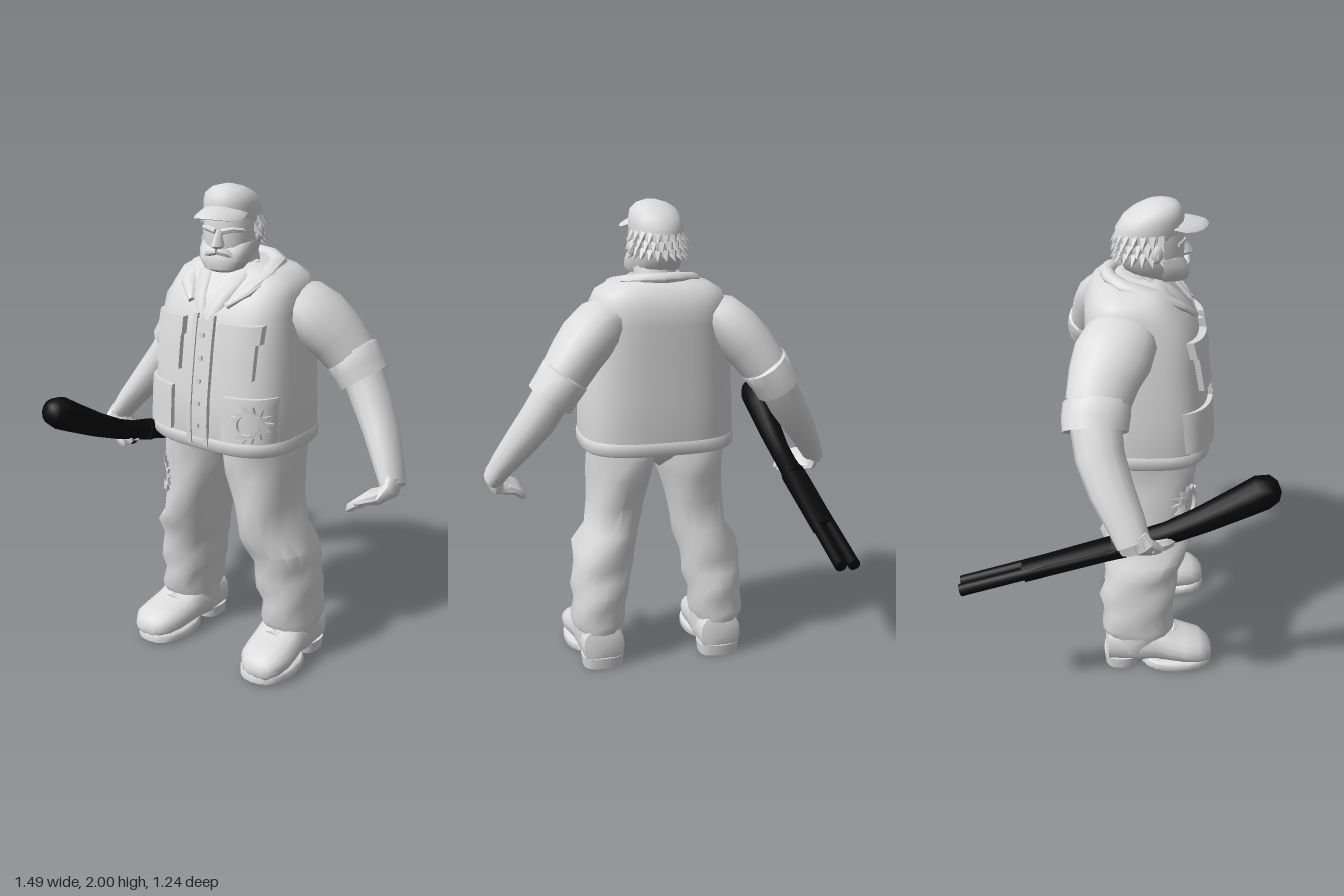
import * as THREE from 'three';
import { toCreasedNormals } from 'three/addons/utils/BufferGeometryUtils.js';

const X = new THREE.Vector3(1, 0, 0), Y = new THREE.Vector3(0, 1, 0), Z = new THREE.Vector3(0, 0, 1);
const cloth = new THREE.MeshStandardMaterial({ color: 0xdcdcdc });
cloth.name = 'light grey';
const metal = new THREE.MeshStandardMaterial({ color: 0x080808 });
metal.name = 'gun black';

// Closed sweep through rows [x, y, z, a, b]; rings are superellipses of power n
function sweep(rows, { seg = 14, n = 2, axis = null, ref = Z, wobble = 0 } = {}) {
  const pos = [], idx = [];
  const P = rows.map(r => new THREE.Vector3(r[0], r[1], r[2]));
  rows.forEach((r, k) => {
    const t = axis ? axis.clone()
      : P[Math.min(k + 1, P.length - 1)].clone().sub(P[Math.max(k - 1, 0)]).normalize();
    const u = t.clone().cross(ref).normalize(), v = u.clone().cross(t);
    for (let i = 0; i < seg; i++) {
      const w = i / seg * Math.PI * 2, c = Math.cos(w), s = Math.sin(w);
      const q = 1 + wobble * Math.sin(3 * w + k * 2.1);
      const p = P[k].clone()
        .addScaledVector(u, q * r[3] * Math.sign(c) * Math.abs(c) ** (2 / n))
        .addScaledVector(v, q * (r[4] ?? r[3]) * Math.sign(s) * Math.abs(s) ** (2 / n));
      pos.push(p.x, p.y, p.z);
    }
  });
  const last = (rows.length - 1) * seg, c0 = rows.length * seg;
  [P[0], P[P.length - 1]].forEach(p => pos.push(p.x, p.y, p.z));
  for (let i = 0; i < seg; i++) {
    const j = (i + 1) % seg;
    for (let k = 0; k < last; k += seg) idx.push(k + i, k + seg + i, k + j, k + j, k + seg + i, k + seg + j);
    idx.push(c0, i, j, c0 + 1, last + j, last + i);
  }
  const g = new THREE.BufferGeometry();
  g.setAttribute('position', new THREE.Float32BufferAttribute(pos, 3));
  g.setIndex(idx);
  return g;
}

// Front depth of a vertical sweep at (x, y), for laying details on it
const surface = (rows, n) => (x, y) => {
  let k = 0;
  while (k < rows.length - 2 && y > rows[k + 1][1]) k++;
  const f = THREE.MathUtils.clamp((y - rows[k][1]) / (rows[k + 1][1] - rows[k][1]), 0, 1);
  const [cx, , cz, a, b] = rows[k].map((v, i) => v + (rows[k + 1][i] - v) * f);
  return cz + b * Math.max(0, 1 - Math.abs((x - cx) / a) ** n) ** (1 / n);
};
function drape(g, surf) {
  const p = g.attributes.position;
  for (let i = 0; i < p.count; i++) p.setZ(i, p.getZ(i) + surf(p.getX(i), p.getY(i)));
  return g;
}
const plate = (x0, x1, y0, y1, d, surf) =>
  drape(new THREE.BoxGeometry(x1 - x0, y1 - y0, 2 * d, 8, 6, 1).translate((x0 + x1) / 2, (y0 + y1) / 2, 0), surf);
function star(x, y, rx, ry, d, surf) {
  const s = new THREE.Shape();
  for (let i = 0; i < 28; i++) {
    const a = i / 28 * Math.PI * 2, r = i % 2 ? 0.72 : 1;
    s[i ? 'lineTo' : 'moveTo'](x + rx * r * Math.cos(a), y + ry * r * Math.sin(a));
  }
  s.holes.push(new THREE.Path().absellipse(x, y, rx * 0.55, ry * 0.55, 0, Math.PI * 2));
  return drape(new THREE.ExtrudeGeometry(s, { depth: d, bevelEnabled: false, curveSegments: 10 }), surf);
}

const torsoRows = [
  [0, 0.98, 0.135, 0.32, 0.245], [0, 1.03, 0.138, 0.326, 0.255], [0, 1.2, 0.132, 0.322, 0.25],
  [0, 1.4, 0.115, 0.305, 0.238], [0, 1.52, 0.103, 0.29, 0.228], [0, 1.59, 0.08, 0.28, 0.205],
  [0, 1.645, 0.065, 0.262, 0.165], [0, 1.675, 0.065, 0.21, 0.14], [0, 1.7, 0.07, 0.12, 0.1]];
const legRows = [
  [0.27, 0.16, 0.095, 0.106, 0.14], [0.27, 0.2, 0.095, 0.117, 0.155], [0.264, 0.27, 0.095, 0.111, 0.148],
  [0.257, 0.33, 0.097, 0.125, 0.162], [0.25, 0.39, 0.105, 0.124, 0.155], [0.243, 0.45, 0.108, 0.128, 0.155],
  [0.23, 0.525, 0.125, 0.137, 0.173], [0.197, 0.6, 0.138, 0.112, 0.182], [0.178, 0.72, 0.15, 0.121, 0.174],
  [0.157, 0.85, 0.135, 0.137, 0.198], [0.148, 0.95, 0.128, 0.145, 0.21], [0.15, 1.02, 0.135, 0.147, 0.2]];

export function createModel() {
  const model = new THREE.Group();
  model.name = 'burlyHunter';
  const add = (parent, name, g, mat = cloth) => {
    const m = new THREE.Mesh(toCreasedNormals(g, 0.8), mat);
    m.name = name;
    parent.add(m);
    return m;
  };
  const front = surface(torsoRows, 3);

  // Vest with hem, placket, buttons and pockets
  add(model, 'vest', sweep(torsoRows, { seg: 36, n: 3, axis: Y }));
  add(model, 'vestHem', sweep([[0, 0.975, 0.136, 0.322, 0.25], [0, 0.985, 0.137, 0.33, 0.258],
    [0, 1.025, 0.138, 0.331, 0.26], [0, 1.04, 0.138, 0.322, 0.25]], { seg: 36, n: 3, axis: Y }));
  add(model, 'placket', plate(-0.045, 0.05, 1.0, 1.5, 0.01, front));
  for (const x of [-0.045, 0.035]) add(model, 'placketEdge', plate(x, x + 0.02, 1.0, 1.52, 0.017, front));
  for (let i = 0; i < 5; i++) {
    const y = 1.08 + i * 0.09;
    add(model, 'button', new THREE.CylinderGeometry(0.011, 0.011, 0.02, 8).rotateX(Math.PI / 2)
      .translate(0.005, y, front(0.005, y) + 0.01));
  }
  for (const s of [-1, 1]) {
    const box = (name, a, b, y0, y1, d) => add(model, name, plate(Math.min(s * a, s * b), Math.max(s * a, s * b), y0, y1, d, front));
    box('chestPocket', 0.095, 0.235, 1.29, 1.46, 0.022);
    box('chestPocketFlap', 0.085, 0.25, 1.43, 1.5, 0.03);
    box('lowerPocket', 0.125, 0.305, 1.04, 1.22, 0.02);
    // Shirt lapel in the neck opening
    add(model, 'lapel', sweep([[s * 0.012, 1.48, 0.335, 0.012, 0.012], [s * 0.055, 1.58, 0.295, 0.035, 0.014],
      [s * 0.09, 1.66, 0.205, 0.03, 0.016], [s * 0.1, 1.7, 0.12, 0.012, 0.012]], { seg: 8 }));
  }
  add(model, 'vestPatch', star(0.235, 1.12, 0.07, 0.075, 0.032, front));
  // Collar band round the neck
  const half = [[0.085, 1.555, 0.31, 0.012, 0.014], [0.135, 1.61, 0.25, 0.04, 0.02], [0.165, 1.665, 0.15, 0.04, 0.024],
    [0.135, 1.69, 0.03, 0.035, 0.024], [0.07, 1.7, -0.02, 0.03, 0.024]];
  add(model, 'collar', sweep([...half, [0, 1.702, -0.035, 0.03, 0.024],
    ...half.slice().reverse().map(([x, ...r]) => [-x, ...r])], { seg: 10, ref: Y }));

  // Seat of the trousers
  add(model, 'trouserSeat', sweep([[0, 0.89, 0.13, 0.012, 0.1], [0, 0.92, 0.13, 0.05, 0.15], [0, 0.96, 0.13, 0.16, 0.185],
    [0, 1.01, 0.13, 0.28, 0.205]], { seg: 20, axis: Y }));

  // Limbs, built once for +x and mirrored through the row data
  for (const s of [1, -1]) {
    const side = new THREE.Group();
    side.name = s > 0 ? 'leftLimbs' : 'rightLimbs';
    model.add(side);
    const part = (name, rows, opt) => add(side, name, sweep(rows.map(([x, ...r]) => [s * x, ...r]), opt));
    part('trouserLeg', legRows, { seg: 16, n: 2.3, axis: Y, wobble: 0.035 });
    part('sleeve', [[0.19, 1.55, 0.035, 0.075, 0.12], [0.25, 1.525, 0.02, 0.103, 0.145], [0.31, 1.47, -0.013, 0.112, 0.155],
      [0.365, 1.41, -0.045, 0.107, 0.14], [0.43, 1.32, -0.073, 0.098, 0.123]], { seg: 16 });
    part('sleeveCuff', [[0.412, 1.345, -0.067, 0.095, 0.118], [0.42, 1.335, -0.072, 0.104, 0.132], [0.455, 1.285, -0.077, 0.1, 0.133],
      [0.485, 1.24, -0.079, 0.1, 0.127], [0.482, 1.245, -0.079, 0.08, 0.1]], { seg: 16, axis: new THREE.Vector3(s * 0.58, -0.81, 0) });
    part('forearm', [[0.46, 1.28, -0.08, 0.08, 0.1], [0.53, 1.16, -0.062, 0.078, 0.096], [0.605, 1.05, -0.018, 0.066, 0.088],
      [0.67, 0.95, 0.035, 0.052, 0.076], [0.71, 0.88, 0.065, 0.042, 0.066]], { seg: 12 });
    part('palm', [[0.705, 0.91, 0.055, 0.035, 0.06], [0.705, 0.865, 0.075, 0.035, 0.075], [0.67, 0.84, 0.105, 0.03, 0.085],
      [0.635, 0.828, 0.115, 0.022, 0.08]], { seg: 12 });
    for (let i = 0; i < 4; i++) {
      const z = 0.05 + i * 0.043, r = 0.02;
      part('finger', [[0.65, 0.835, z, r], [0.615, 0.82, z + 0.005, r], [0.59, 0.8, z + 0.008, r * 0.9],
        [0.58, 0.787, z + 0.008, r * 0.5]], { seg: 7 });
    }
    part('thumb', [[0.7, 0.86, 0.13, 0.025], [0.675, 0.855, 0.18, 0.023], [0.64, 0.845, 0.21, 0.018],
      [0.625, 0.84, 0.22, 0.009]], { seg: 7 });
    // Boot with toe, sole, heel and laces
    part('boot', [[0.265, 0.09, -0.042, 0.06, 0.06], [0.265, 0.1, -0.03, 0.09, 0.09], [0.265, 0.11, 0.08, 0.1, 0.1],
      [0.268, 0.118, 0.17, 0.107, 0.09], [0.274, 0.1, 0.23, 0.11, 0.073], [0.282, 0.086, 0.3, 0.11, 0.064],
      [0.287, 0.079, 0.36, 0.1, 0.057], [0.29, 0.066, 0.4, 0.07, 0.042], [0.29, 0.06, 0.415, 0.04, 0.02]],
      { seg: 16, n: 2.4, axis: Z, ref: Y.clone().negate() });
    part('bootShaft', [[0.265, 0.08, 0.08, 0.1, 0.1], [0.268, 0.16, 0.1, 0.112, 0.13], [0.268, 0.21, 0.1, 0.104, 0.125]], { axis: Y });
    part('sole', [[0.279, 0.004, 0.265, 0.107, 0.143], [0.279, 0.012, 0.265, 0.113, 0.154], [0.279, 0.04, 0.265, 0.113, 0.154],
      [0.279, 0.048, 0.265, 0.105, 0.148]], { seg: 20, n: 2.3, axis: Y });
    part('heel', [[0.265, 0, 0.025, 0.088, 0.07], [0.265, 0.05, 0.025, 0.094, 0.076]], { seg: 16, n: 2.8, axis: Y });
    for (let i = 0; i < 3; i++) {
      const y = 0.205 - i * 0.018, z = 0.175 + i * 0.035;
      part('lace', [[0.215, y - 0.02, z, 0.009], [0.27, y, z + 0.01, 0.011], [0.325, y - 0.02, z, 0.009]], { seg: 6 });
    }
  }
  const legFront = surface(legRows, 2.3);
  add(model, 'kneePatch', star(-0.245, 0.78, 0.045, 0.085, 0.014, (x, y) => legFront(-x, y)));

  // Neck and turned head
  add(model, 'neck', sweep([[0, 1.6, 0.1, 0.1, 0.1], [0, 1.75, 0.13, 0.085, 0.09]], { axis: Y }));
  const head = new THREE.Group();
  head.name = 'head';
  head.position.set(-0.01, 0, 0.135);
  head.rotation.y = 0.22;
  model.add(head);
  add(head, 'skull', sweep([[0, 1.69, 0.04, 0.07, 0.08], [0, 1.73, 0.015, 0.098, 0.12], [0, 1.79, 0, 0.105, 0.135],
    [0, 1.86, 0, 0.106, 0.135], [0, 1.9, 0, 0.1, 0.125]], { seg: 18, n: 2.3, axis: Y }));
  add(head, 'beard', sweep([[0, 1.672, 0.085, 0.045, 0.045], [0, 1.685, 0.08, 0.078, 0.072], [0, 1.72, 0.07, 0.1, 0.088],
    [0, 1.755, 0.06, 0.104, 0.085], [0, 1.785, 0.04, 0.104, 0.075]], { seg: 16, n: 2.5, axis: Y }));
  add(head, 'nose', sweep([[0, 1.765, 0.135, 0.014, 0.02], [0, 1.78, 0.14, 0.026, 0.04], [0, 1.805, 0.135, 0.018, 0.03],
    [0, 1.84, 0.125, 0.012, 0.015]], { seg: 8, axis: Y }));
  for (const s of [-1, 1]) {
    add(head, 'moustache', sweep([[0, 1.758, 0.15, 0.014], [s * 0.04, 1.75, 0.14, 0.016], [s * 0.07, 1.72, 0.115, 0.01]], { seg: 7 }));
    add(head, 'brow', sweep([[s * 0.012, 1.832, 0.134, 0.012], [s * 0.05, 1.84, 0.12, 0.013], [s * 0.085, 1.835, 0.09, 0.008]], { seg: 7 }));
    add(head, 'ear', new THREE.SphereGeometry(0.032, 10, 8).scale(0.5, 1.1, 0.8).translate(s * 0.112, 1.81, 0));
  }
  // Shaggy tufts round the back of the head
  for (let r = 0; r < 3; r++) for (let i = 0; i <= 12; i++) {
    const a = Math.PI * (0.96 + 1.08 * (i + (r % 2) * 0.5) / 12.5);
    const tuft = add(head, 'hairTuft', new THREE.ConeGeometry(0.026, 0.065, 5).rotateX(Math.PI * 0.75));
    tuft.position.set(0.112 * Math.cos(a), 1.855 - r * 0.033, 0.135 * Math.sin(a));
    tuft.rotation.y = Math.PI / 2 - a;
  }
  // Cap leaning forward, with curved brim
  add(head, 'cap', sweep([[0, 1.86, -0.005, 0.108, 0.135], [0, 1.895, 0, 0.111, 0.137], [0, 1.935, 0.012, 0.107, 0.122],
    [0, 1.965, 0.028, 0.095, 0.098], [0, 1.988, 0.042, 0.064, 0.064], [0, 2.0, 0.048, 0.02, 0.025]], { seg: 18, axis: Y }));
  const brim = new THREE.SphereGeometry(1, 18, 10).scale(0.1, 0.014, 0.125).rotateX(0.17);
  const bp = brim.attributes.position;
  for (let i = 0; i < bp.count; i++) bp.setY(i, bp.getY(i) - 3 * bp.getX(i) ** 2);
  add(head, 'capBrim', brim.translate(0, 1.918, 0.112));

  // Double-barrelled shotgun held in the right hand
  const gun = new THREE.Group();
  gun.name = 'shotgun';
  model.add(gun);
  const gx = -0.605;
  add(gun, 'stock', sweep([[gx, 1.072, 0.613, 0.025], [gx, 1.064, 0.595, 0.054], [gx, 1.045, 0.55, 0.069], [gx, 1.0, 0.47, 0.063],
    [gx, 0.925, 0.33, 0.053], [gx, 0.865, 0.2, 0.045], [gx, 0.83, 0.1, 0.044], [gx, 0.8, -0.01, 0.05, 0.048]],
    { seg: 14, ref: X }), metal);
  add(gun, 'foreEnd', sweep([[gx, 0.81, 0.03, 0.042, 0.05], [gx, 0.79, -0.04, 0.038, 0.052], [gx, 0.69, -0.36, 0.034, 0.05]],
    { seg: 12, n: 3, ref: X }), metal);
  for (const s of [-1, 1])
    add(gun, 'barrel', sweep([[gx + s * 0.026, 0.805, 0, 0.026], [gx + s * 0.028, 0.62, -0.61, 0.025]], { seg: 12, ref: X }), metal);
  add(gun, 'triggerGuard', new THREE.TorusGeometry(0.03, 0.007, 6, 14).rotateY(Math.PI / 2).translate(gx, 0.8, 0.1), metal);
  return model;
}
